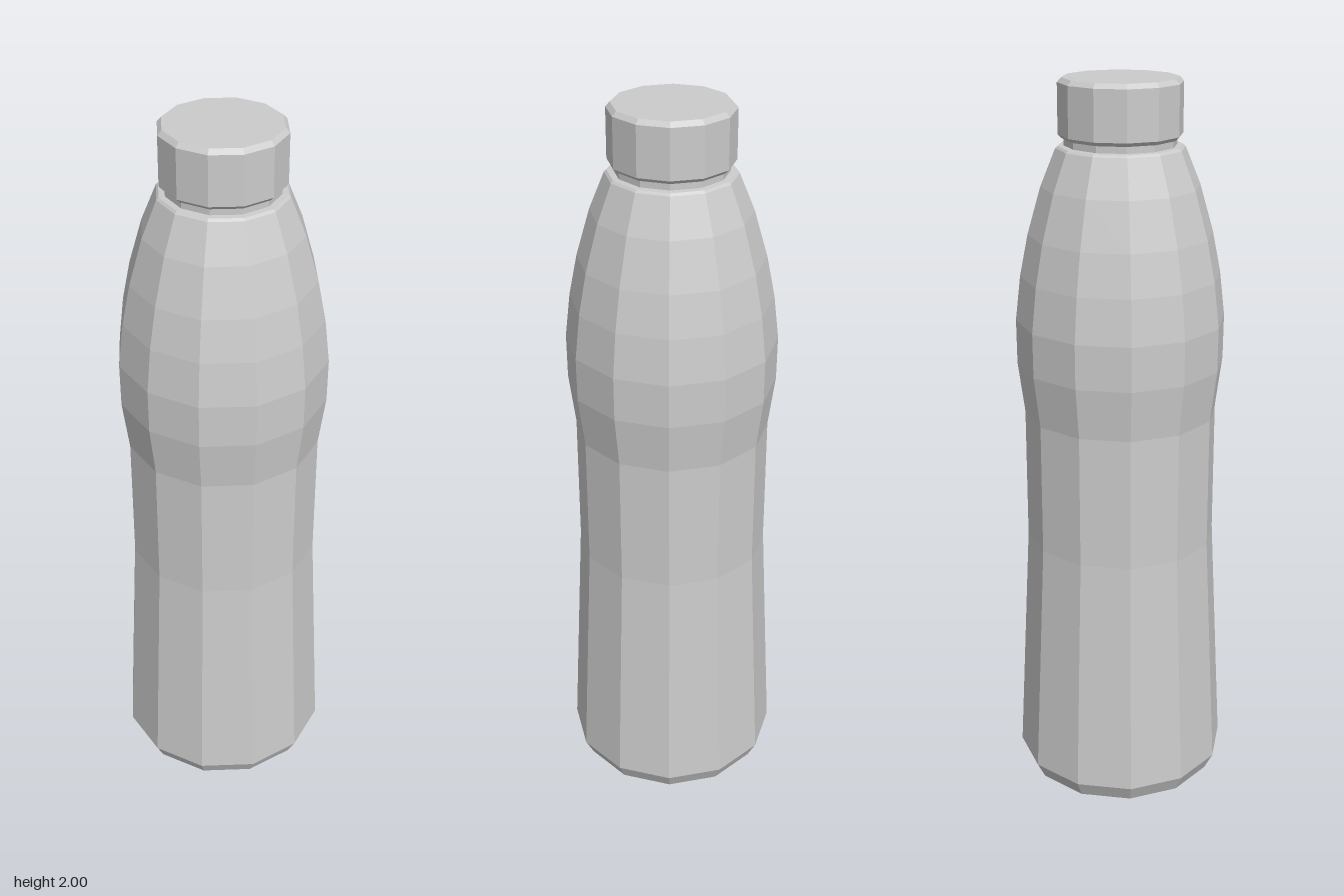
import * as THREE from 'three';

const SIDES = 12;

// Faceted solid of revolution from [radius, height] pairs, listed bottom to top
function turned(name, profile) {
  const points = profile.map(([r, y]) => new THREE.Vector2(r, y));
  const material = new THREE.MeshStandardMaterial({ color: 0xcccccc, flatShading: true });
  const mesh = new THREE.Mesh(new THREE.LatheGeometry(points, SIDES), material);
  mesh.name = name;
  return mesh;
}

export function createModel() {
  const bottle = new THREE.Group();
  bottle.name = 'bottle';

  // Body with recessed base, waist and rounded shoulder
  bottle.add(turned('body', [
    [0, 0.055], [0.16, 0.055],
    [0.23, 0], [0.272, 0.022], [0.296, 0.07],
    [0.262, 0.745], [0.262, 1.11],
    [0.28, 1.25], [0.281, 1.37], [0.267, 1.49],
    [0.245, 1.6], [0.209, 1.725], [0.169, 1.823],
    [0.163, 1.829], [0.147, 1.83],
  ]));

  // Neck between shoulder and cap
  bottle.add(turned('neck', [
    [0.147, 1.825], [0.147, 1.86],
  ]));

  // Screw cap with bevelled rims
  bottle.add(turned('cap', [
    [0, 1.848], [0.152, 1.848], [0.162, 1.858],
    [0.162, 1.988], [0.151, 2], [0, 2],
  ]));

  return bottle;
}
